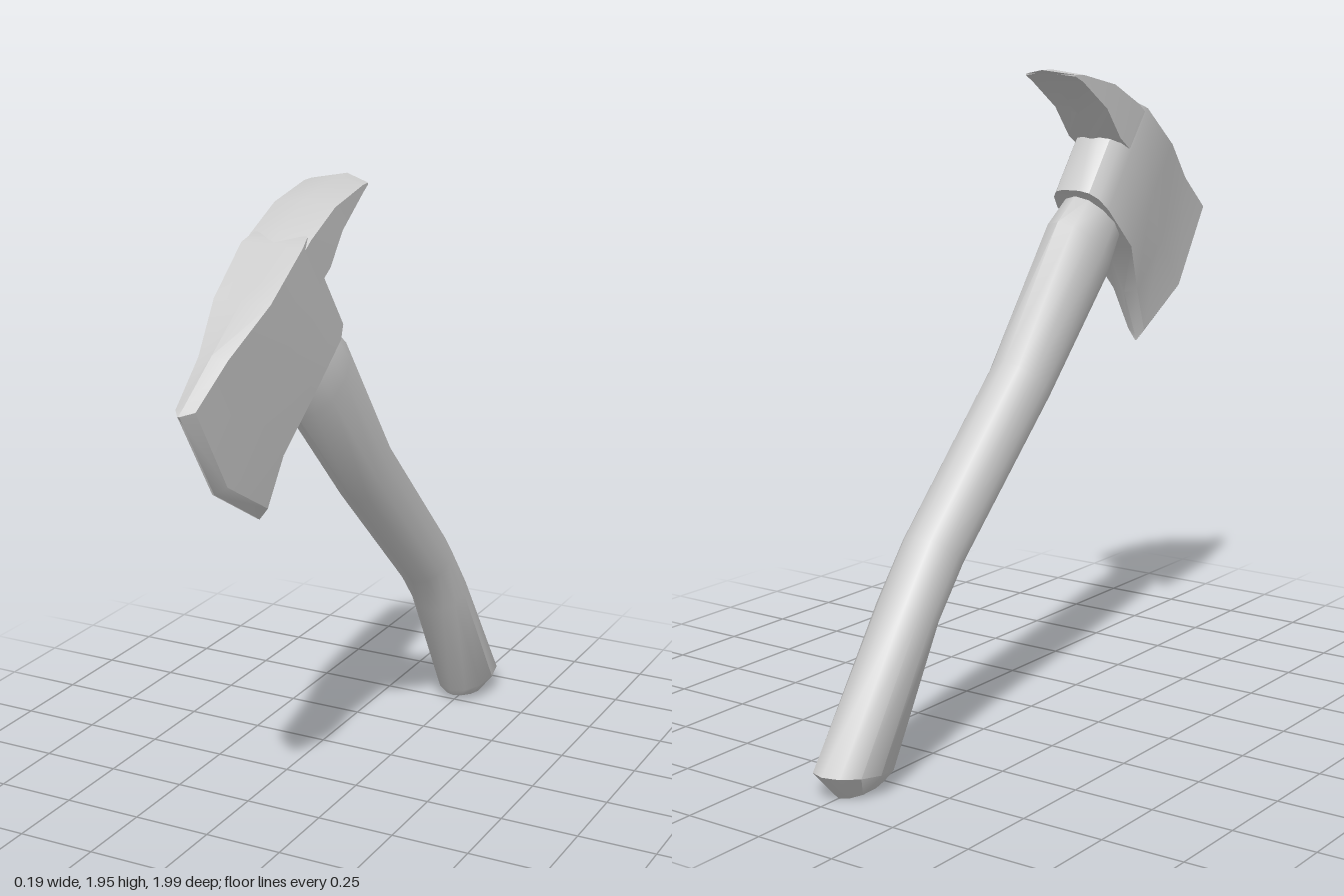
import * as THREE from 'three';
import { toCreasedNormals } from 'three/addons/utils/BufferGeometryUtils.js';

const material = new THREE.MeshStandardMaterial({ color: 0xcccccc });

// Skin a list of equal-length rings of [x, y, z] and close both ends with fans.
function loft(name, rings, crease) {
  const n = rings[0].length;
  const pts = rings.flat();
  const faces = [];
  for (let r = 0; r < rings.length - 1; r++) {
    for (let i = 0; i < n; i++) {
      const a = r * n + i, b = r * n + (i + 1) % n;
      faces.push([a, b, b + n], [a, b + n, a + n]);
    }
  }
  const addCap = (start, flip) => {
    const c = [0, 1, 2].map(k => pts.slice(start, start + n).reduce((s, p) => s + p[k], 0) / n);
    const id = pts.push(c) - 1;
    for (let i = 0; i < n; i++) {
      const a = start + i, b = start + (i + 1) % n;
      faces.push(flip ? [id, b, a] : [id, a, b]);
    }
  };
  const last = (rings.length - 1) * n;
  addCap(0, true);
  addCap(last, false);
  // Turn the faces outward if the enclosed volume is negative.
  const v = pts.map(p => new THREE.Vector3(...p));
  const volume = faces.reduce((s, [a, b, c]) => s + v[a].dot(v[b].clone().cross(v[c])), 0);
  if (volume < 0) faces.forEach(f => f.reverse());
  const geometry = new THREE.BufferGeometry().setFromPoints(v);
  geometry.setIndex(faces.flat());
  const mesh = new THREE.Mesh(toCreasedNormals(geometry, crease), material);
  mesh.name = name;
  return mesh;
}

// Curved wooden handle: elliptical rings between a lower and an upper edge point.
function createHandle() {
  const sides = 12;
  // lower z, lower y, upper z, upper y, half width
  const sections = [
    [0.47, 1.48, 0.31, 1.61, 0.06],
    [0.42, 1.41, 0.24, 1.575, 0.085],
    [0.36, 1.31, 0.14, 1.50, 0.095],
    [0.02, 0.96, -0.14, 1.11, 0.093],
    [-0.41, 0.55, -0.57, 0.67, 0.09],
    [-0.53, 0.41, -0.69, 0.51, 0.092],
    [-0.715, 0.05, -0.995, 0.085, 0.095],
    [-0.735, 0.025, -0.925, 0.003, 0.055],
  ];
  const rings = sections.map(([lz, ly, uz, uy, w]) =>
    Array.from({ length: sides }, (_, i) => {
      const a = (i / sides) * Math.PI * 2;
      const t = (1 + Math.cos(a)) / 2;
      return [w * Math.sin(a), ly + (uy - ly) * t, lz + (uz - lz) * t];
    }));
  return loft('handle', rings, 0.75);
}

// Blade and eye, laid out with u toward the cutting edge and v along the eye.
function createBlade() {
  const place = (x, u, v) => [x, 1.59 - 0.59 * u + 0.807 * v, 0.21 + 0.807 * u + 0.59 * v];
  // bottom [u, v], middle [u, v], top [u, v], half width, chamfer
  const stations = [
    [[0, 0], [0, 0.17], [0, 0.33], 0.03, 0],
    [[0.012, 0], [0.012, 0.17], [0.012, 0.33], 0.06, 0],
    [[0.04, -0.003], [0.04, 0.17], [0.04, 0.35], 0.083, 0],
    [[0.09, -0.01], [0.09, 0.17], [0.09, 0.362], 0.095, 0],
    [[0.28, -0.03], [0.29, 0.16], [0.295, 0.365], 0.087, 0.004],
    [[0.455, -0.10], [0.48, 0.11], [0.49, 0.367], 0.045, 0.012],
    [[0.59, -0.175], [0.69, 0.066], [0.668, 0.369], 0.03, 0.015],
    [[0.61, -0.19], [0.72, 0.066], [0.70, 0.37], 0.003, 0],
  ];
  const rings = stations.map(([b, m, t, w, c]) => [
    place(0, ...b), place(w, b[0], b[1] + c), place(w, ...m), place(w, t[0], t[1] - c),
    place(0, ...t), place(-w, t[0], t[1] - c), place(-w, ...m), place(-w, b[0], b[1] + c),
  ]);
  return loft('blade', rings, 0.5);
}

// Broad curved spike behind the blade, ridged above and below.
function createSpike() {
  // [z, y] of top ridge, upper side, lower side, bottom ridge; half width
  const sections = [
    [[0.53, 1.80], [0.53, 1.785], [0.425, 1.69], [0.41, 1.675], 0.092],
    [[0.45, 1.86], [0.45, 1.842], [0.34, 1.745], [0.32, 1.74], 0.095],
    [[0.31, 1.923], [0.31, 1.908], [0.265, 1.837], [0.24, 1.825], 0.095],
    [[0.11, 1.957], [0.14, 1.942], [0.135, 1.922], [0.10, 1.925], 0.093],
    [[0.055, 1.957], [0.10, 1.943], [0.10, 1.938], [0.06, 1.95], 0.09],
  ];
  const rings = sections.map(([t, ts, bs, b, w]) => {
    const at = (x, p) => [x, p[1], p[0]];
    return [at(0, t), at(w, ts), at(w, bs), at(0, b), at(-w, bs), at(-w, ts)];
  });
  return loft('spike', rings, 0.45);
}

export function createModel() {
  const model = new THREE.Group();
  model.name = 'axe';
  const head = new THREE.Group();
  head.name = 'head';
  head.add(createBlade(), createSpike());
  model.add(createHandle(), head);
  return model;
}
